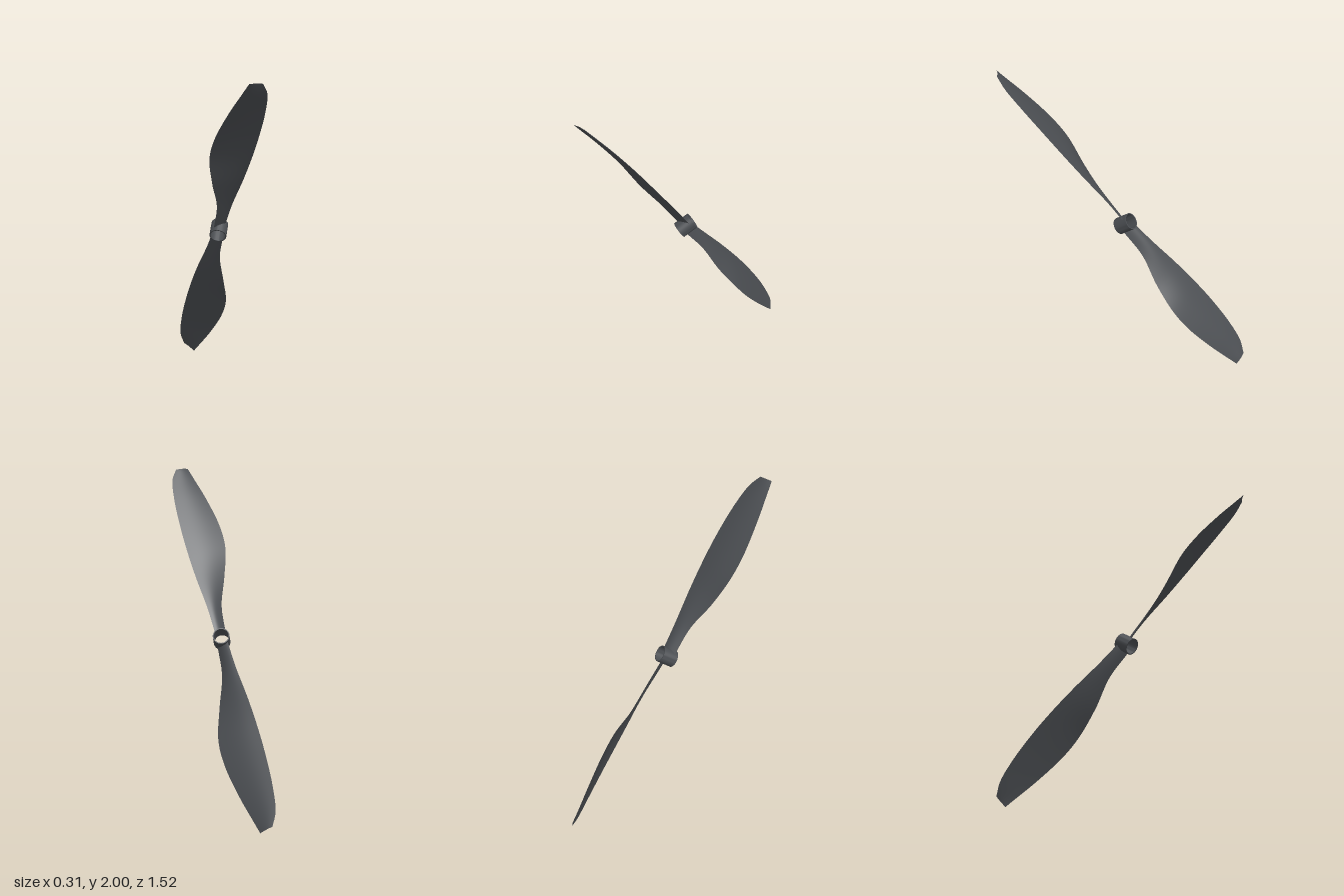
import * as THREE from 'three';
import { toCreasedNormals } from 'three/addons/utils/BufferGeometryUtils.js';

const HUB_OUTER = 0.052, HUB_INNER = 0.046, HUB_HEIGHT = 0.1;

// Blade edges from root to tip (local: x across, y along the hub axis, z along the blade)
const trailing = [
  [-0.033, -0.022, 0.036], [-0.04, -0.018, 0.23], [-0.092, -0.034, 0.43], [-0.135, -0.031, 0.63],
  [-0.127, -0.03, 0.79], [-0.074, -0.025, 1.007], [-0.026, -0.021, 1.152], [0.005, -0.018, 1.244]
];
const leading = [
  [0.033, 0.032, 0.036], [0.05, 0.042, 0.206], [0.086, 0.052, 0.43], [0.11, 0.058, 0.63],
  [0.123, 0.059, 0.8], [0.128, 0.052, 1.0], [0.116, 0.038, 1.15], [0.081, 0.022, 1.23]
];

const toCurve = (points) => new THREE.CatmullRomCurve3(points.map((p) => new THREE.Vector3(...p)));

// One skin of the blade: side +1 is the upper skin, -1 the lower
function bladeSkin(side) {
  const along = 48, across = 12;
  const a = toCurve(trailing), b = toCurve(leading);
  const position = [], index = [];
  for (let i = 0; i <= along; i++) {
    const t = i / along;
    const p = a.getPoint(t), q = b.getPoint(t);
    const thickness = 0.008 * Math.sqrt(1 - t) + 0.001;
    for (let j = 0; j <= across; j++) {
      const s = j / across, v = p.clone().lerp(q, s);
      const bulge = Math.sin(Math.PI * s);
      v.y += bulge * (0.005 + side * thickness);
      // keep the root inside the hub wall, clear of the bore
      v.z = Math.max(v.z, Math.sqrt(Math.max(0, 0.049 ** 2 - v.x ** 2)));
      position.push(v.x, v.y, v.z);
      if (i < along && j < across) {
        const k = i * (across + 1) + j, n = k + across + 1;
        if (side > 0) index.push(k, n, k + 1, k + 1, n, n + 1);
        else index.push(k, k + 1, n, k + 1, n + 1, n);
      }
    }
  }
  const geometry = new THREE.BufferGeometry();
  geometry.setAttribute('position', new THREE.Float32BufferAttribute(position, 3));
  geometry.setIndex(index);
  geometry.computeVertexNormals();
  return geometry;
}

export function createModel() {
  const model = new THREE.Group();
  model.name = 'propeller';
  const darkGrey = new THREE.MeshStandardMaterial({ color: 0x4b4e52 });
  darkGrey.name = 'darkGrey';

  const rotor = new THREE.Group();
  rotor.name = 'rotor';
  model.add(rotor);

  // Hub: short thin-walled tube
  const h = HUB_HEIGHT / 2;
  const profile = [
    [HUB_INNER, -h], [HUB_OUTER, -h], [HUB_OUTER, h], [HUB_INNER, h], [HUB_INNER, -h]
  ].map((p) => new THREE.Vector2(...p));
  const hub = new THREE.Mesh(toCreasedNormals(new THREE.LatheGeometry(profile, 40), 0.6), darkGrey);
  hub.name = 'hub';
  hub.position.y = 0.004;
  rotor.add(hub);

  // Two identical blades, half a turn apart
  const skins = { upperSkin: bladeSkin(1), lowerSkin: bladeSkin(-1) };
  for (let i = 0; i < 2; i++) {
    const blade = new THREE.Group();
    blade.name = i ? 'lowerBlade' : 'upperBlade';
    for (const [name, geometry] of Object.entries(skins)) {
      const mesh = new THREE.Mesh(geometry, darkGrey);
      mesh.name = name;
      blade.add(mesh);
    }
    blade.rotation.y = i * Math.PI;
    rotor.add(blade);
  }

  // Tilt the rotor: hub axis and blade direction define its frame
  const axis = new THREE.Vector3(0.26, 0.57, -0.78).normalize();
  const side = axis.clone().cross(new THREE.Vector3(0.031, 0.802, 0.597)).normalize();
  const span = side.clone().cross(axis);
  rotor.quaternion.setFromRotationMatrix(new THREE.Matrix4().makeBasis(side, axis, span));
  rotor.position.set(-0.012, 1.012, -0.001);
  return model;
}
